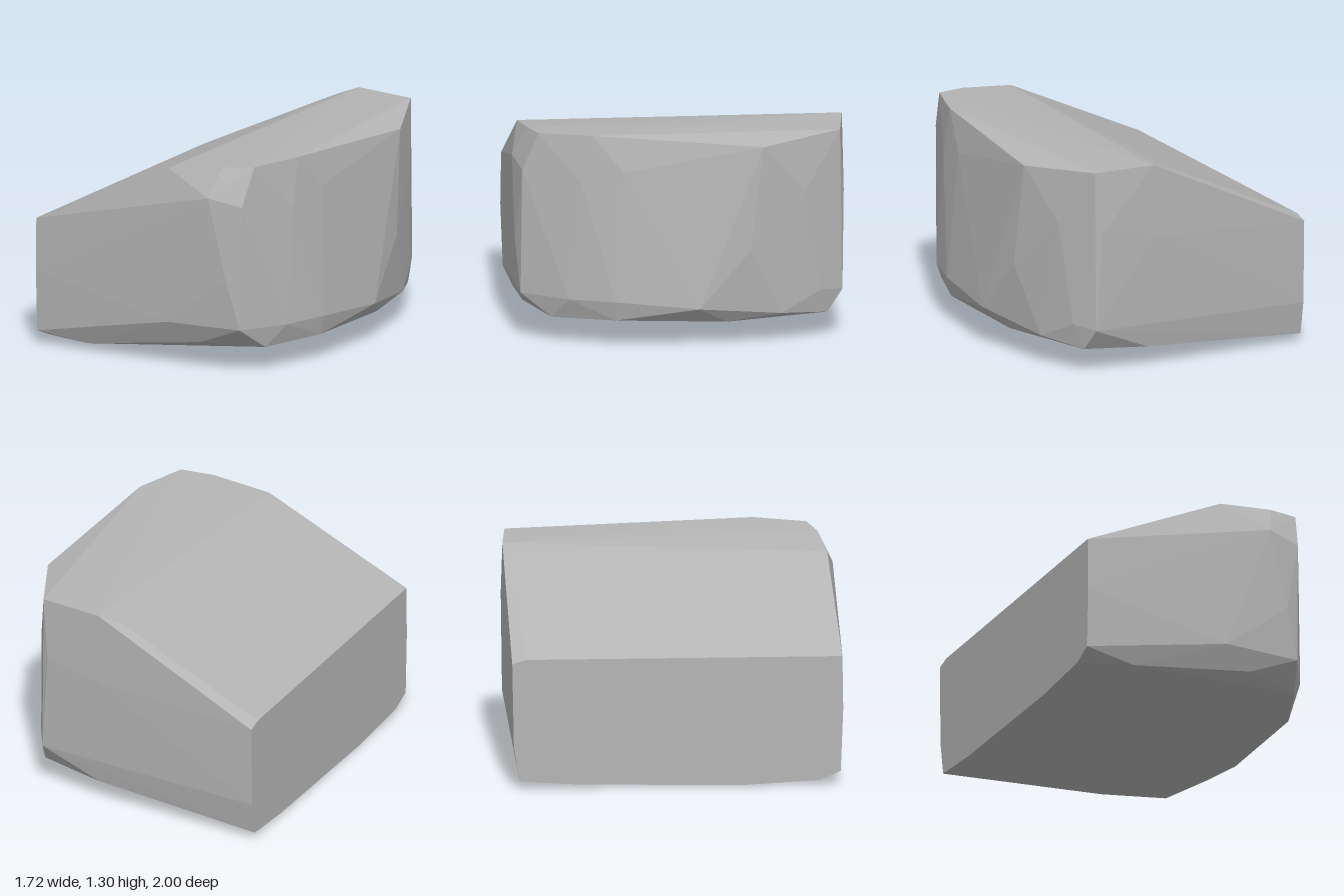
import * as THREE from 'three';
import { ConvexGeometry } from 'three/addons/geometries/ConvexGeometry.js';

// Corner points [x, y, z] of the faceted block, grouped by region
const topRim = [
  [-0.86, 0.79, 0.99], [0.05, 1.23, 0.95], [0.41, 1.28, 0.91], [0.6, 1.295, 0.855],
  [0.71, 1.3, 0.54], [0.79, 1.235, -0.49], [0.57, 1.28, -0.96], [0.18, 1.28, -0.995],
  [0.05, 1.23, -0.93], [-0.86, 0.79, -0.91], [-0.86, 0.765, -0.995],
];
const frontSide = [
  [-0.86, 0.47, 0.995], [-0.86, 0.085, 0.98], [0.07, 0.285, 1], [0.48, 0.61, 0.99],
  [0.36, 1.1, 1], [0.57, 1.06, 0.95], [0.56, 0.295, 0.96],
];
const bulgingEnd = [
  [0.72, 1, 0.6], [0.76, 1.08, 0.35], [0.72, 0.29, 0.68], [0.81, 0.29, 0.4],
  [0.855, 0.25, -0.1], [0.815, 0.6, -0.41], [0.7, 0.93, -0.74], [0.65, 0.31, -0.84],
];
const backSide = [
  [0.53, 0.9, -0.985], [0.18, 0.83, -1], [-0.86, 0.25, -0.985], [0.57, 0.29, -0.975],
];
const underside = [
  [-0.86, 0.03, 0.85], [-0.53, 0.045, 0.94], [0.26, 0.17, 0.93], [0.63, 0.16, 0.78],
  [0.78, 0.17, 0.4], [0.76, 0.147, -0.27], [0.74, 0.19, -0.6], [0.6, 0.157, -0.88],
  [0.2, 0.13, -0.95], [-0.86, 0.045, -0.95], [-0.86, 0.02, -0.6], [-0.66, 0, 0.5],
  [-0.86, 0.005, 0.4],
];

export function createModel() {
  const group = new THREE.Group();
  group.name = 'stoneBlock';

  const stone = new THREE.MeshStandardMaterial({ color: 0xb4b4b4 });
  stone.name = 'stoneGrey';

  // One convex hull with flat facet normals
  const points = [...topRim, ...frontSide, ...bulgingEnd, ...backSide, ...underside]
    .map((p) => new THREE.Vector3(...p));
  const rock = new THREE.Mesh(new ConvexGeometry(points), stone);
  rock.name = 'rock';
  group.add(rock);
  return group;
}
